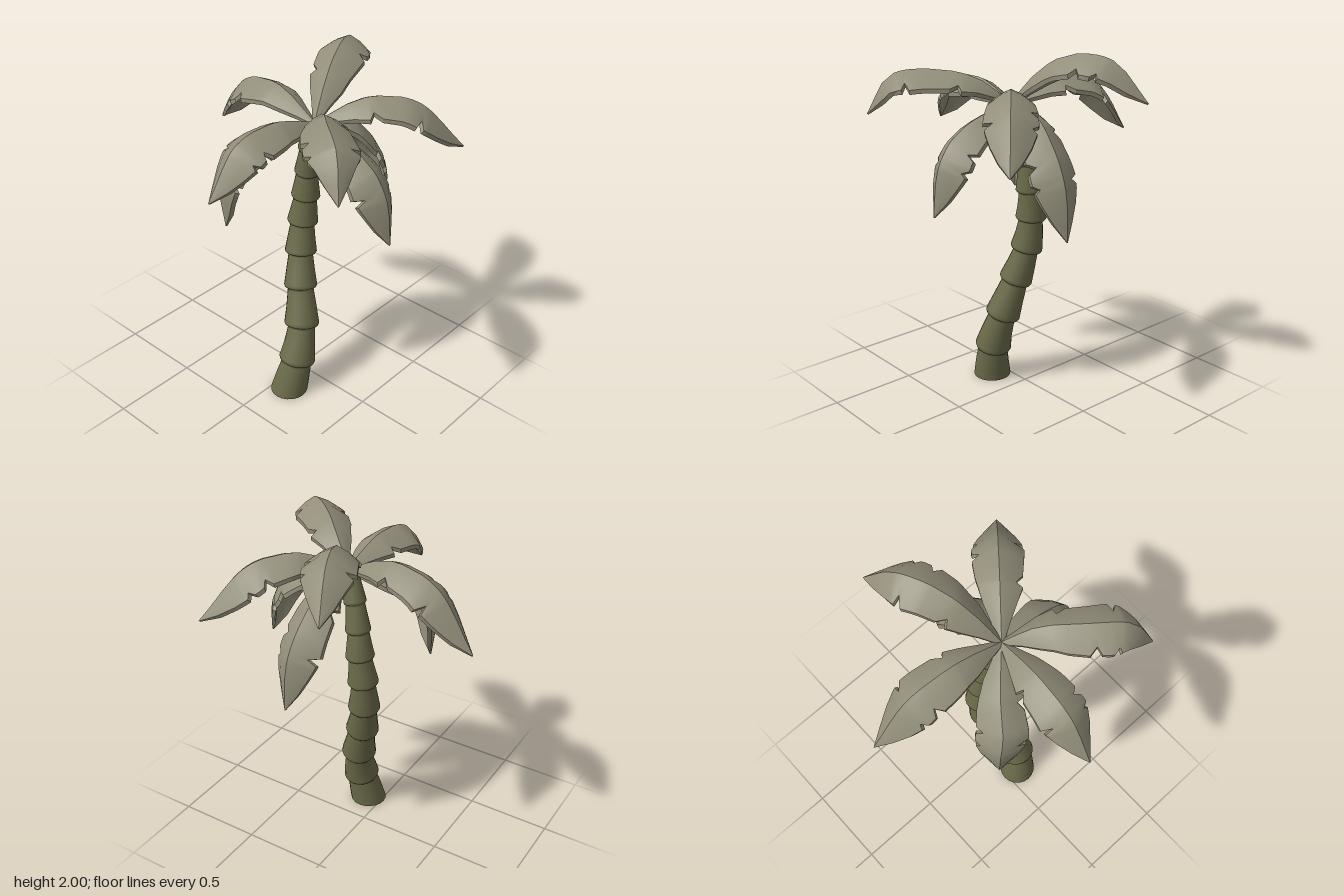
import * as THREE from 'three';
import { mergeVertices } from 'three/addons/utils/BufferGeometryUtils.js';

const V = (x, y, z) => new THREE.Vector3(x, y, z);

// Surface through rows of points; column direction x row direction faces out
function grid(rows, flip = false, flat = false) {
  const pos = [], idx = [], n = rows[0].length;
  rows.forEach(row => row.forEach(p => pos.push(p.x, p.y, p.z)));
  for (let i = 0; i < rows.length - 1; i++) {
    for (let j = 0; j < n - 1; j++) {
      const a = i * n + j, b = a + 1, c = b + n, d = a + n;
      if (flip) idx.push(a, c, b, a, d, c);
      else idx.push(a, b, c, a, c, d);
    }
  }
  let geo = new THREE.BufferGeometry();
  geo.setAttribute('position', new THREE.Float32BufferAttribute(pos, 3));
  geo.setIndex(idx);
  geo = flat ? geo.toNonIndexed() : mergeVertices(geo);
  geo.computeVertexNormals();
  return geo;
}

function addMesh(parent, name, geo, mat) {
  const mesh = new THREE.Mesh(geo, mat);
  mesh.name = name;
  parent.add(mesh);
  return mesh;
}

// Trunk nodes: x, y, z of each joint and the radius of the segment above it
const JOINTS = [
  [-0.2, 0, 0.09, 0.11], [-0.16, 0.2, 0.115, 0.104], [-0.095, 0.42, 0.095, 0.1],
  [-0.043, 0.64, 0.04, 0.094], [0.005, 0.84, -0.003, 0.09], [0.033, 1.03, -0.015, 0.086],
  [0.043, 1.2, -0.002, 0.08], [0.04, 1.36, 0.012, 0.07], [0.025, 1.52, 0.04, 0.062],
  [0.005, 1.67, 0.08, 0.05],
];
// One segment: fraction along it, radius factor (rounded lip, then taper)
const SEGMENT = [[0, 0.84], [0.03, 0.98], [0.08, 1.03], [0.14, 1.01], [0.5, 0.89], [0.95, 0.76]];

function buildTrunk(mat) {
  const trunk = new THREE.Group();
  trunk.name = 'trunk';
  const curve = new THREE.CatmullRomCurve3(JOINTS.map(([x, y, z]) => V(x, y, z)));
  const count = JOINTS.length - 1, sides = 20, rows = [];
  for (let s = 0; s < count; s++) {
    const profile = s === 0 ? [[0, 1], [0.5, 0.9], [0.95, 0.8]] : SEGMENT;
    for (const [f, k] of profile) {
      const t = (s + f) / count, c = curve.getPoint(t);
      const up = rows.length ? curve.getTangent(t) : V(0, 1, 0);
      const u = up.clone().cross(V(0, 0, 1)).normalize();
      const v = u.clone().cross(up);
      const row = [];
      for (let j = 0; j <= sides; j++) {
        const a = (j % sides) / sides * Math.PI * 2, r = JOINTS[s][3] * k;
        row.push(c.clone().addScaledVector(u, Math.cos(a) * r).addScaledVector(v, -Math.sin(a) * r));
      }
      rows.push(row);
    }
  }
  addMesh(trunk, 'trunkSegments', grid(rows), mat);
  const base = addMesh(trunk, 'trunkBase', new THREE.CircleGeometry(0.11, sides), mat);
  base.rotation.x = Math.PI / 2;
  base.position.set(-0.2, 0, 0.09);
  return trunk;
}

// Frond outline: fraction along the spine, half width on each side (dips are the torn notches)
const OUTLINE = [
  [0, 0.015, 0.015], [0.1, 0.05, 0.05], [0.2, 0.088, 0.088], [0.3, 0.12, 0.108],
  [0.33, 0.085, 0.115], [0.38, 0.122, 0.125], [0.5, 0.132, 0.137], [0.54, 0.135, 0.1],
  [0.57, 0.137, 0.137], [0.62, 0.14, 0.14], [0.65, 0.088, 0.138], [0.68, 0.13, 0.108],
  [0.71, 0.125, 0.13], [0.8, 0.1, 0.105], [0.9, 0.058, 0.06], [1, 0.002, 0.002],
];
const THICKNESS = 0.024;

function buildFrond(points, mirrored, mat) {
  const frond = new THREE.Group();
  frond.name = 'frond';
  const curve = new THREE.CatmullRomCurve3(points.map(p => V(...p)));
  const tip = points[points.length - 1];
  const side = V(tip[0], 0, tip[2] - 0.1).normalize().cross(V(0, 1, 0));
  for (const s of [1, -1]) {
    const top = [], under = [], rim = [];
    for (const [t, a, b] of OUTLINE) {
      const w = (s > 0) !== mirrored ? a : b;
      const p = curve.getPointAt(t);
      const normal = side.clone().cross(curve.getTangentAt(t)).normalize();
      // Each half curves down from the ridge
      const at = (u, drop) => p.clone().addScaledVector(side, s * w * u)
        .addScaledVector(normal, -w * (0.3 * u + 0.32 * u * u) - drop);
      const thick = THICKNESS * Math.min(1, 0.3 + w * 12);
      top.push([at(0, 0), at(0.5, 0), at(1, 0)]);
      under.push([at(0, thick), at(0.5, thick), at(1, thick)]);
      rim.push([at(1, 0), at(1, thick)]);
    }
    const half = s > 0 ? 'Left' : 'Right';
    addMesh(frond, 'frondTop' + half, grid(top, s < 0), mat);
    addMesh(frond, 'frondUnderside' + half, grid(under, s > 0), mat);
    addMesh(frond, 'frondRim' + half, grid(rim, s < 0, true), mat);
  }
  return frond;
}

// Frond spines after the shared crown point
const CROWN = [0, 1.71, 0.1];
const SPINES = [
  [[0.025, 1.83, -0.18], [0.06, 1.77, -0.47], [0.085, 1.46, -0.705]],                   // back
  [[0.13, 1.87, 0.05], [0.31, 1.99, -0.02], [0.54, 1.98, -0.12], [0.72, 1.775, -0.2]],  // high left
  [[0.2, 1.835, 0.27], [0.41, 1.8, 0.45], [0.62, 1.52, 0.635]],                         // front left
  [[0.22, 1.68, 0.12], [0.42, 1.5, 0.15], [0.51, 1.32, 0.165], [0.53, 1.065, 0.17]],    // left, drooping
  [[0, 1.66, 0.33], [0, 1.57, 0.5], [0, 1.42, 0.6], [0, 1.17, 0.635]],                  // front, drooping
  [[-0.1, 1.84, 0.24], [-0.25, 1.89, 0.4], [-0.41, 1.86, 0.6], [-0.5, 1.65, 0.695]],    // front right
  [[-0.28, 1.8, 0.08], [-0.54, 1.76, 0.06], [-0.725, 1.505, 0.045]],                    // right
  [[-0.2, 1.64, -0.09], [-0.34, 1.52, -0.2], [-0.38, 1.36, -0.25], [-0.36, 1.09, -0.235]], // back right, drooping
];

export function createModel() {
  const model = new THREE.Group();
  model.name = 'palmTree';
  const bark = new THREE.MeshStandardMaterial({ color: 0x6a6a4a });
  bark.name = 'bark';
  const leaf = new THREE.MeshStandardMaterial({ color: 0x928e7a });
  leaf.name = 'leaf';
  model.add(buildTrunk(bark));
  SPINES.forEach((spine, i) => model.add(buildFrond([CROWN, ...spine], i % 2 === 1, leaf)));
  return model;
}
